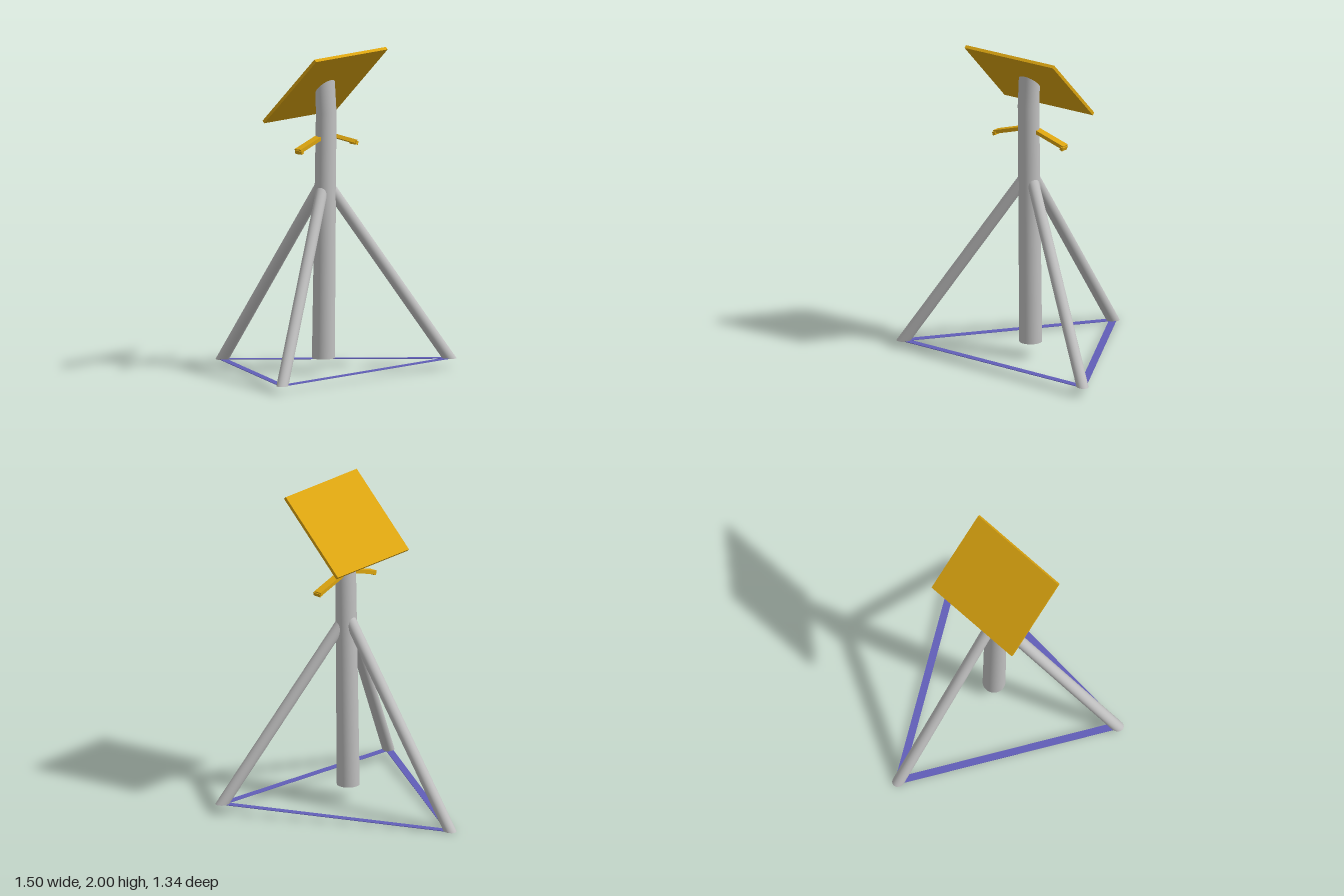
import * as THREE from 'three';

const V = (x, y, z) => new THREE.Vector3(x, y, z);

export function createModel() {
  const model = new THREE.Group();
  const mat = (name, color) => {
    const m = new THREE.MeshStandardMaterial({ color });
    m.name = name;
    return m;
  };
  const grey = mat('greyMetal', 0xc0c0c0);
  const yellow = mat('yellowPanel', 0xdba410);
  const blue = mat('blueStrap', 0x615eb8);
  const add = (name, geometry, material) => {
    const mesh = new THREE.Mesh(geometry, material);
    mesh.name = name;
    model.add(mesh);
    return mesh;
  };

  // Panel tilted at 45 degrees, rising toward the front
  const panelMid = V(0.02, 1.7825, 0.222);
  const panel = add('panel', new THREE.BoxGeometry(0.66, 0.02, 0.595), yellow);
  panel.position.copy(panelMid);
  panel.rotation.x = -Math.PI / 4;

  // Column: round at the base, slightly oval above, cut along the panel
  const rings = [ // height, centre z, radius in z
    [0.1, 0.208, 0.07],
    [1.62, 0.231, 0.0565],
    [null, 0.222, 0.05],
  ];
  const column = new THREE.CylinderGeometry(1, 1, 2, 40, 2);
  const p = column.attributes.position;
  for (let i = 0; i < p.count; i++) {
    const [h, cz, rz] = rings[Math.round(p.getY(i)) + 1];
    const z = cz + p.getZ(i) * rz;
    const y = h === null ? panelMid.y + (z - panelMid.z) - 0.01 : h;
    p.setXYZ(i, 0.02 + p.getX(i) * 0.07, y, z);
  }
  add('column', column, grey);

  // Legs: tubes from the column to the ground, feet cut level
  const hub = V(0.02, 1.2, 0.215);
  const feet = {
    rightLeg: V(-0.71, 0.045, 0.517),
    leftLeg: V(0.705, 0.06, 0.628),
    rearLeg: V(0.04, 0.002, -0.63),
  };
  for (const [name, foot] of Object.entries(feet)) {
    const dir = hub.clone().sub(foot);
    const length = dir.length();
    dir.normalize();
    const turn = new THREE.Quaternion().setFromUnitVectors(V(0, 1, 0), dir);
    const g = new THREE.CylinderGeometry(0.036, 0.036, length, 28).translate(0, length / 2, 0);
    const pos = g.attributes.position, nor = g.attributes.normal;
    const v = V(), n = V();
    for (let i = 0; i < pos.count; i++) {
      v.fromBufferAttribute(pos, i);
      n.fromBufferAttribute(nor, i);
      const low = v.y < 0.001;
      const footCap = n.y < -0.5;
      v.applyQuaternion(turn);
      n.applyQuaternion(turn);
      if (low) v.addScaledVector(dir, -v.y / dir.y);
      if (footCap) n.set(0, -1, 0);
      v.add(foot);
      pos.setXYZ(i, v.x, v.y, v.z);
      nor.setXYZ(i, n.x, n.y, n.z);
    }
    add(name, g, grey);
  }

  // Flat straps joining the feet
  const strap = (name, a, b) => {
    const along = b.clone().sub(a);
    const length = along.length() - 0.06;
    along.normalize();
    const side = V(0, 1, 0).cross(along).normalize();
    const up = along.clone().cross(side);
    const g = new THREE.BoxGeometry(0.045, 0.003, length);
    g.applyMatrix4(new THREE.Matrix4().makeBasis(side, up, along));
    const mid = a.clone().add(b).multiplyScalar(0.5);
    add(name, g.translate(mid.x, mid.y + 0.002, mid.z), blue);
  };
  strap('frontStrap', feet.rightLeg, feet.leftLeg);
  strap('rightStrap', feet.rightLeg, feet.rearLeg);
  strap('leftStrap', feet.leftLeg, feet.rearLeg);

  // Drooping side handles with a small lip at the tip
  for (const s of [-1, 1]) {
    const handle = new THREE.Group();
    handle.name = s < 0 ? 'rightHandle' : 'leftHandle';
    const a = V(0.05, 1.469, 0.222), b = V(0.258, 1.405, 0.226);
    const bar = new THREE.Mesh(new THREE.BoxGeometry(a.distanceTo(b), 0.023, 0.05), yellow);
    bar.name = 'handleBar';
    bar.position.set(s * (a.x + b.x) / 2, (a.y + b.y) / 2, 0.222);
    bar.rotation.z = s * Math.atan2(b.y - a.y, b.x - a.x);
    const lip = new THREE.Mesh(new THREE.BoxGeometry(0.02, 0.022, 0.052), yellow);
    lip.name = 'handleLip';
    lip.position.set(s * 0.252, 1.399, 0.228);
    lip.rotation.z = bar.rotation.z;
    handle.add(bar, lip);
    handle.position.x = 0.028;
    model.add(handle);
  }

  return model;
}
